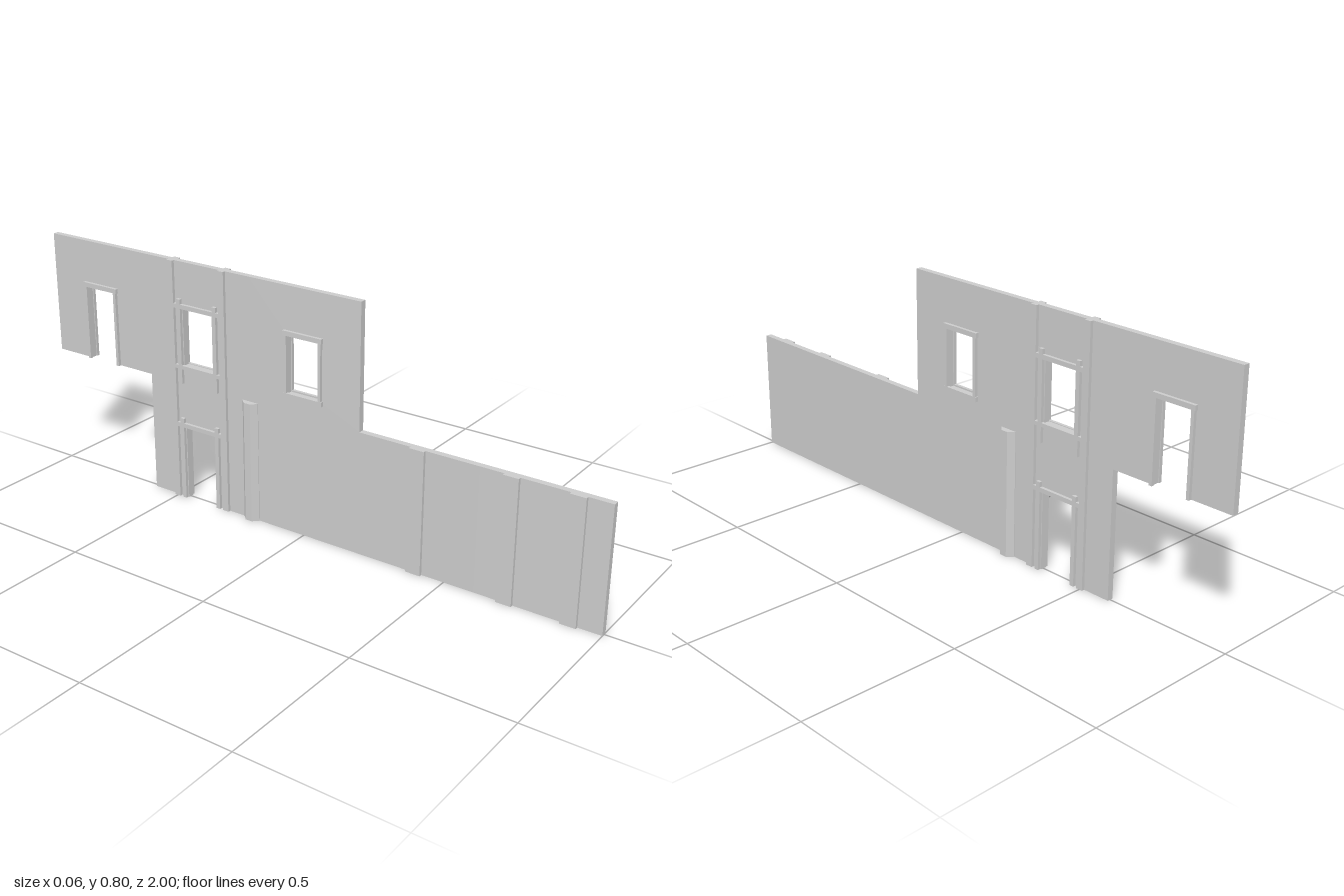
import * as THREE from 'three';

const mat = new THREE.MeshStandardMaterial({ color: 0xcccccc, flatShading: true });
const PANEL = 0.4;   // panel width and storey height
const HALF = 0.01;   // half the wall thickness
const TRIM = 0.02;   // how far trim reaches from the wall centre
const OPEN = 0.06;   // half width of doors and windows

export function createModel() {
  const root = new THREE.Group();

  function add(parent, name, geometry) {
    const mesh = new THREE.Mesh(geometry, mat);
    mesh.name = name;
    parent.add(mesh);
    return mesh;
  }

  function group(name) {
    const g = new THREE.Group();
    g.name = name;
    root.add(g);
    return g;
  }

  // Box given by its limits
  function bar(parent, name, x0, x1, y0, y1, z0, z1) {
    const mesh = add(parent, name, new THREE.BoxGeometry(x1 - x0, y1 - y0, z1 - z0));
    mesh.position.set((x0 + x1) / 2, (y0 + y1) / 2, (z0 + z1) / 2);
  }

  // The same trim on both faces of the wall
  function trim(parent, name, y0, y1, z0, z1) {
    bar(parent, name, HALF, TRIM, y0, y1, z0, z1);
    bar(parent, name, -TRIM, -HALF, y0, y1, z0, z1);
  }

  // Wall panel centred on z, with an optional door or window
  function panel(name, z, y, opening) {
    const h = PANEL / 2, s = new THREE.Shape();
    s.moveTo(z - h, y);
    if (opening === 'door') {
      s.lineTo(z - OPEN, y).lineTo(z - OPEN, y + 0.25);
      s.lineTo(z + OPEN, y + 0.25).lineTo(z + OPEN, y);
    }
    s.lineTo(z + h, y).lineTo(z + h, y + PANEL).lineTo(z - h, y + PANEL).closePath();
    if (opening === 'window') {
      const p = new THREE.Path();
      p.moveTo(z - OPEN, y + 0.06).lineTo(z - OPEN, y + 0.25);
      p.lineTo(z + OPEN, y + 0.25).lineTo(z + OPEN, y + 0.06).closePath();
      s.holes.push(p);
    }
    const geo = new THREE.ExtrudeGeometry(s, { depth: 2 * HALF, bevelEnabled: false });
    geo.translate(0, 0, -HALF).rotateY(-Math.PI / 2);
    add(root, name, geo);
  }

  // Walls
  panel('lowerWallFront', 0.8, 0);
  panel('lowerWallMiddle', 0.4, 0);
  panel('lowerWallBack', 0, 0);
  panel('lowerDoorWall', -0.4, 0, 'door');
  panel('upperWindowWall', 0, 0.4, 'window');
  panel('upperBalconyWall', -0.4, 0.4, 'window');
  panel('upperDoorWall', -0.8, 0.4, 'door');

  // Simple surrounds: window at z = 0, door at z = -0.8
  const windowFrame = group('windowFrame');
  trim(windowFrame, 'lintel', 0.647, 0.662, -0.07, 0.07);
  trim(windowFrame, 'sill', 0.45, 0.465, -0.07, 0.07);
  const doorFrame = group('doorFrame');
  trim(doorFrame, 'lintel', 0.647, 0.662, -0.87, -0.73);
  for (const s of [-1, 1]) {
    const a = s * 0.062;
    trim(windowFrame, 'jamb', 0.465, 0.647, a - 0.005, a + 0.005);
    trim(doorFrame, 'jamb', 0.4, 0.647, -0.8 + a - 0.005, -0.8 + a + 0.005);
  }

  // Timber framing of the two-storey bay
  const bay = group('timberBay');
  for (const y of [0, 0.4]) {
    trim(bay, 'crossBeam', y + 0.25, y + 0.264, -0.49, -0.31);
    for (const s of [-1, 1]) {
      const post = -0.4 + s * 0.1, stud = -0.4 + s * 0.07;
      trim(bay, 'post', y, y + PANEL, post - 0.011, post + 0.011);
      trim(bay, 'stud', y, y + 0.25, stud - 0.007, stud + 0.007);
      trim(bay, 'studEnd', y + 0.264, y + 0.28, stud - 0.007, stud + 0.007);
    }
  }
  trim(bay, 'sillBeam', 0.45, 0.462, -0.49, -0.31);

  // Octagonal column through the lower wall
  const column = add(root, 'column',
    new THREE.CylinderGeometry(0.0315, 0.0315, PANEL, 8, 1, false, Math.PI / 8));
  column.position.set(0, PANEL / 2, -0.2);

  // Pilasters on the right face of the lower wall
  const pilasters = group('pilasters');
  for (const z of [0.9, 0.7, 0.4]) {
    bar(pilasters, 'pilaster', -TRIM, -HALF, 0, PANEL, z - 0.025, z + 0.025);
  }
  return root;
}
